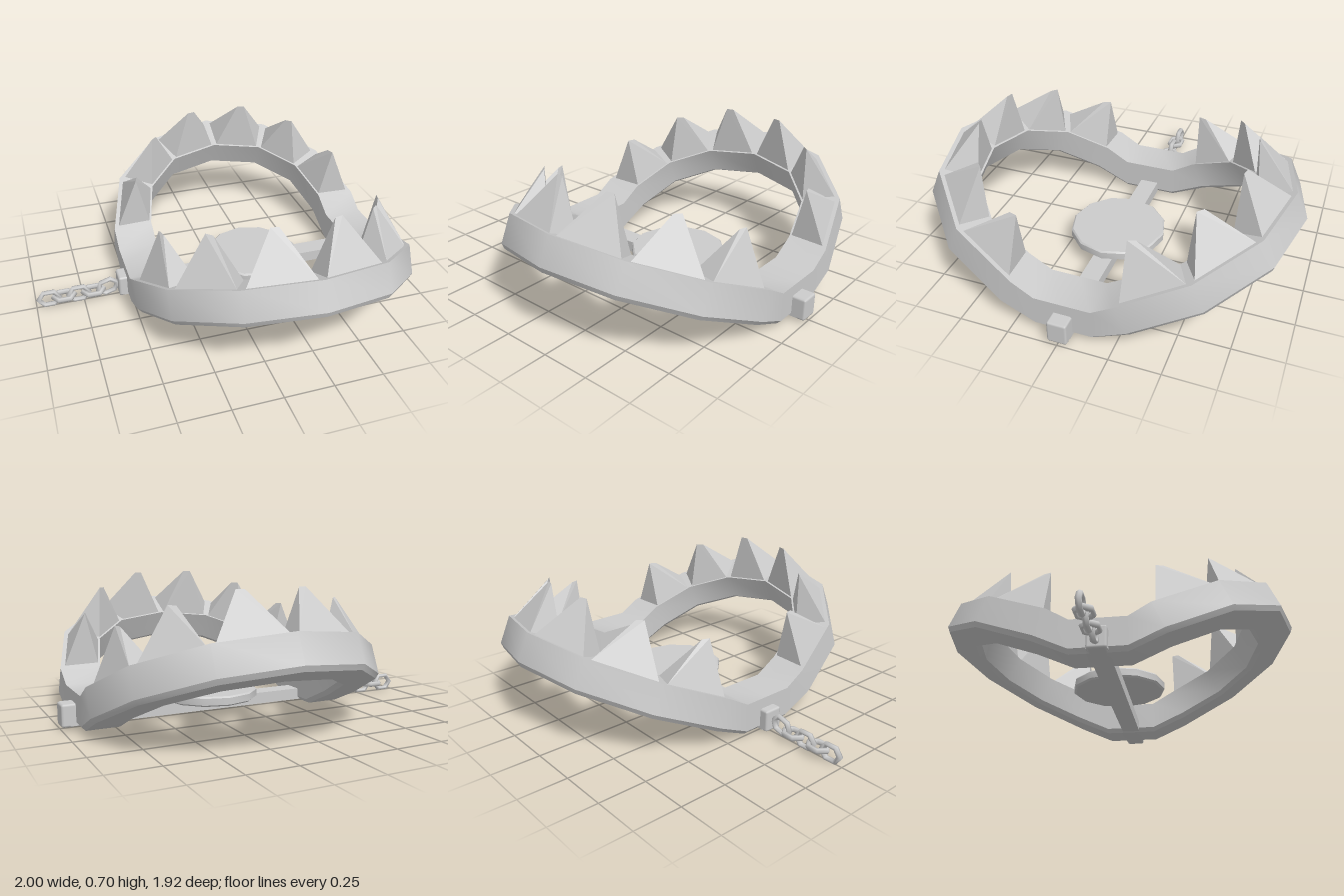
import * as THREE from 'three';
import { toCreasedNormals } from 'three/addons/utils/BufferGeometryUtils.js';
import { RoundedBoxGeometry } from 'three/addons/geometries/RoundedBoxGeometry.js';
import { ConvexGeometry } from 'three/addons/geometries/ConvexGeometry.js';

const CENTRE = 0.205;

// One quarter of the jaw ring, from the hinge to the crown:
// [outer x, outer z, inner x, inner z] along the underside
const STATIONS = [
  [0.725, 0, 0.515, 0],
  [0.725, 0.14, 0.515, 0.14],
  [0.725, 0.32, 0.515, 0.33],
  [0.625, 0.64, 0.45, 0.555],
  [0.36, 0.885, 0.27, 0.72],
  [0, 0.97, 0, 0.78],
];

// Tooth tips [x, y, z] for the ring segments after stations 2, 3 and 4
const TIPS = [[0.58, 0.53, 0.285], [0.415, 0.64, 0.54], [0.155, 0.71, 0.675]];

// Point in the ring: t runs from outer to inner face, h from underside to top
function ringPoint(q, t, h, sx, sz) {
  const [ox, oz, ix, iz] = STATIONS[q];
  const tilted = q > 1;
  const z = oz + (iz - oz) * t;
  const y = 0.02 + Math.max(0, z - 0.14) * 0.4485 + h * (tilted ? 0.155 : 0.17);
  return new THREE.Vector3(sx * (ox + (ix - ox) * t), y, sz * (z - (tilted ? 0.07 * h : 0)));
}

// Closed sweep of a bevelled section around both jaws
function jawGeometry() {
  const section = [[0, 1], [0, 0.13], [0.1, 0], [0.9, 0], [1, 0.13], [1, 1]];
  const path = [];
  for (let q = 0; q <= 5; q++) path.push([q, 1, 1]);
  for (let q = 4; q >= 0; q--) path.push([q, -1, 1]);
  for (let q = 1; q <= 5; q++) path.push([q, -1, -1]);
  for (let q = 4; q >= 1; q--) path.push([q, 1, -1]);
  const n = section.length;
  const points = [];
  const index = [];
  path.forEach(([q, sx, sz], i) => {
    const next = (i + 1) % path.length;
    section.forEach(([t, h], j) => {
      points.push(ringPoint(q, t, h, sx, sz));
      const k = (j + 1) % n;
      const a = i * n + j, b = next * n + j, c = i * n + k, d = next * n + k;
      index.push(a, b, c, b, d, c);
    });
  });
  const geometry = new THREE.BufferGeometry().setFromPoints(points);
  geometry.setIndex(index);
  return toCreasedNormals(geometry, 0.65);
}

// Wedge-tipped tooth standing on the ring segment after station q
function toothGeometry(q, tip, sx, sz) {
  const corner = (t, s) =>
    ringPoint(q, t, 0.97, sx, sz).lerp(ringPoint(q + 1, t, 0.97, sx, sz), s);
  const base = [corner(0.1, 0.05), corner(0.1, 0.95), corner(0.96, 0.95), corner(0.96, 0.05)];
  const along = base[1].clone().sub(base[0]).setY(0).setLength(0.02);
  const peak = new THREE.Vector3(tip[0] * sx, tip[1], tip[2] * sz);
  return new ConvexGeometry([...base, peak.clone().add(along), peak.clone().sub(along)]);
}

export function createModel() {
  const model = new THREE.Group();
  model.name = 'jawTrap';
  const material = new THREE.MeshStandardMaterial({ color: 0xcccccc });
  const add = (name, geometry, x = 0, y = 0, z = 0, parent = model) => {
    const mesh = new THREE.Mesh(geometry, material);
    mesh.name = name;
    mesh.position.set(x, y, z);
    parent.add(mesh);
    return mesh;
  };

  // Jaws and their teeth
  add('jaws', jawGeometry(), CENTRE);
  const teeth = new THREE.Group();
  teeth.name = 'teeth';
  model.add(teeth);
  for (const sz of [1, -1]) {
    for (const sx of [1, -1]) {
      TIPS.forEach((tip, i) => add('tooth', toothGeometry(i + 2, tip, sx, sz), CENTRE, 0, 0, teeth));
    }
  }

  // Cross bar with hinge blocks outside the jaws
  add('crossBar', new THREE.BoxGeometry(1.5, 0.06, 0.1), 0.21, 0.055, 0);
  add('leftHingeBlock', new RoundedBoxGeometry(0.1, 0.115, 0.1, 1, 0.012), 0.95, 0.077, 0);
  add('rightHingeBlock', new RoundedBoxGeometry(0.1, 0.115, 0.1, 1, 0.012), -0.515, 0.077, 0);

  // Trigger plate with a slightly bevelled rim
  const profile = [[0, 0.085], [0.24, 0.085], [0.25, 0.093], [0.25, 0.128], [0.242, 0.136], [0, 0.136]]
    .map(([r, y]) => new THREE.Vector2(r, y));
  const plate = toCreasedNormals(new THREE.LatheGeometry(profile, 12), 0.6);
  add('triggerPlate', plate, CENTRE, 0, 0);

  // Chain of six-sided links, alternately upright and flat
  const chain = new THREE.Group();
  chain.name = 'chain';
  model.add(chain);
  const linkGeometry = new THREE.TorusGeometry(0.054, 0.0155, 6, 6).scale(1, 0.78, 1);
  for (let i = 0; i < 5; i++) {
    const link = add('chainLink', linkGeometry, -0.931 + i * 0.078, 0.054, 0, chain);
    if (i % 2) link.rotation.x = Math.PI / 2;
    if (i === 4) {
      link.rotation.z = 0.3;
      link.position.y = 0.066;
    }
  }
  return model;
}
